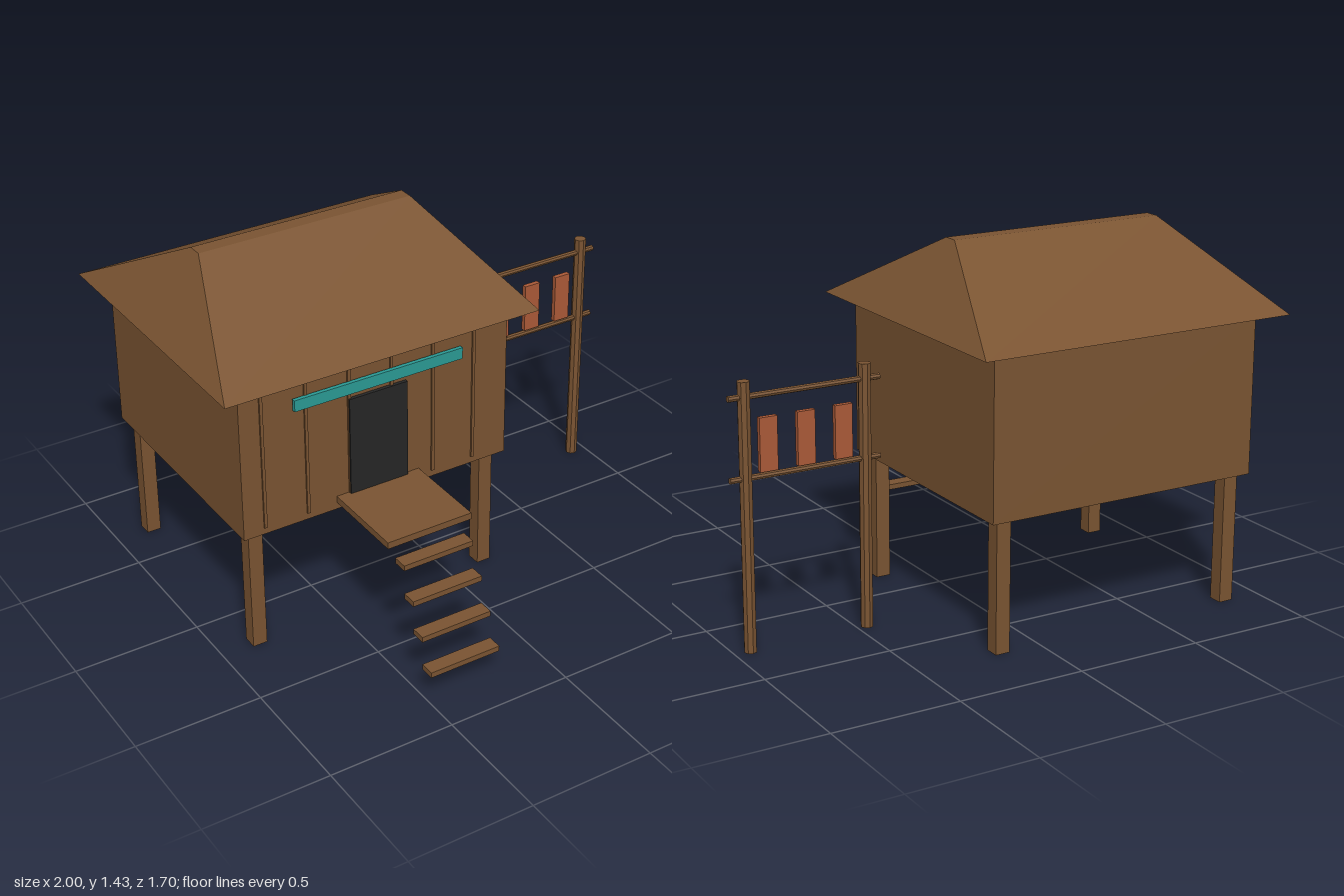
import * as THREE from 'three';

export function createModel() {
  const model = new THREE.Group();
  model.name = 'stiltHut';
  const material = (name, color) => new THREE.MeshStandardMaterial({ name, color });
  const wood = material('wood', 0x7a5432);
  const dark = material('doorBlack', 0x262626);
  const teal = material('teal', 0x2b9a94);
  const clay = material('clayRed', 0xab5a38);

  const add = (name, geometry, mat) => {
    const mesh = new THREE.Mesh(geometry, mat);
    mesh.name = name;
    model.add(mesh);
    return mesh;
  };
  // Box given by its lower and upper corner
  const block = (name, mat, x0, x1, y0, y1, z0, z1) =>
    add(name, new THREE.BoxGeometry(x1 - x0, y1 - y0, z1 - z0)
      .translate((x0 + x1) / 2, (y0 + y1) / 2, (z0 + z1) / 2), mat);

  // Hut body on four square stilts
  block('hutBody', wood, -0.91, 0.223, 0.512, 1.138, -0.757, 0.257);
  for (const x of [-0.847, 0.161])
    for (const z of [0.193, -0.7])
      block('stilt', wood, x - 0.029, x + 0.029, 0, 0.512, z - 0.029, z + 0.029);

  // Hipped roof: a box whose upper corners are drawn in to a narrow flat ridge
  const roof = new THREE.BoxGeometry(1.31, 0.295, 1.184);
  const pos = roof.attributes.position;
  for (let i = 0; i < pos.count; i++) {
    if (pos.getY(i) > 0) {
      pos.setX(i, Math.sign(pos.getX(i)) * 0.447);
      pos.setZ(i, Math.sign(pos.getZ(i)) * 0.03);
    }
  }
  const flatRoof = roof.toNonIndexed();
  flatRoof.computeVertexNormals();
  add('roof', flatRoof, wood).position.set(-0.345, 1.2855, -0.252);

  // Front wall battens, door and sign board
  for (let i = 0; i < 6; i++) {
    const x = -0.822 + i * 0.179;
    block('wallBatten', wood, x - 0.006, x + 0.006, 0.54, 1.138, 0.25, 0.264);
  }
  block('door', dark, -0.468, -0.222, 0.567, 0.969, 0.25, 0.271);
  block('signBoard', teal, -0.696, 0.013, 0.995, 1.041, 0.262, 0.278);

  // Porch deck and floating steps
  block('porchDeck', wood, -0.522, -0.166, 0.54, 0.567, 0.25, 0.613);
  for (let i = 0; i < 4; i++) {
    const y = 0.48 - i * 0.12, z = 0.613 + i * 0.06;
    block('step', wood, -0.492, -0.198, y - 0.011, y + 0.011, z, z + 0.06);
  }

  // Rack: two round posts, two rails and three hanging panels
  for (const x of [0.46, 0.938]) {
    const post = new THREE.CylinderGeometry(0.024, 0.024, 1.018, 8).toNonIndexed();
    post.computeVertexNormals();
    add('rackPost', post, wood).position.set(x, 0.509, -0.252);
  }
  for (const y of [0.66, 0.96]) {
    const rail = new THREE.CylinderGeometry(0.012, 0.012, 0.6, 8).rotateZ(Math.PI / 2).toNonIndexed();
    rail.computeVertexNormals();
    add('rackRail', rail, wood).position.set(0.7, y, -0.252);
  }
  for (const x of [0.55, 0.7, 0.849])
    block('hangingPanel', clay, x - 0.035, x + 0.035, 0.675, 0.877, -0.262, -0.242);

  return model;
}
